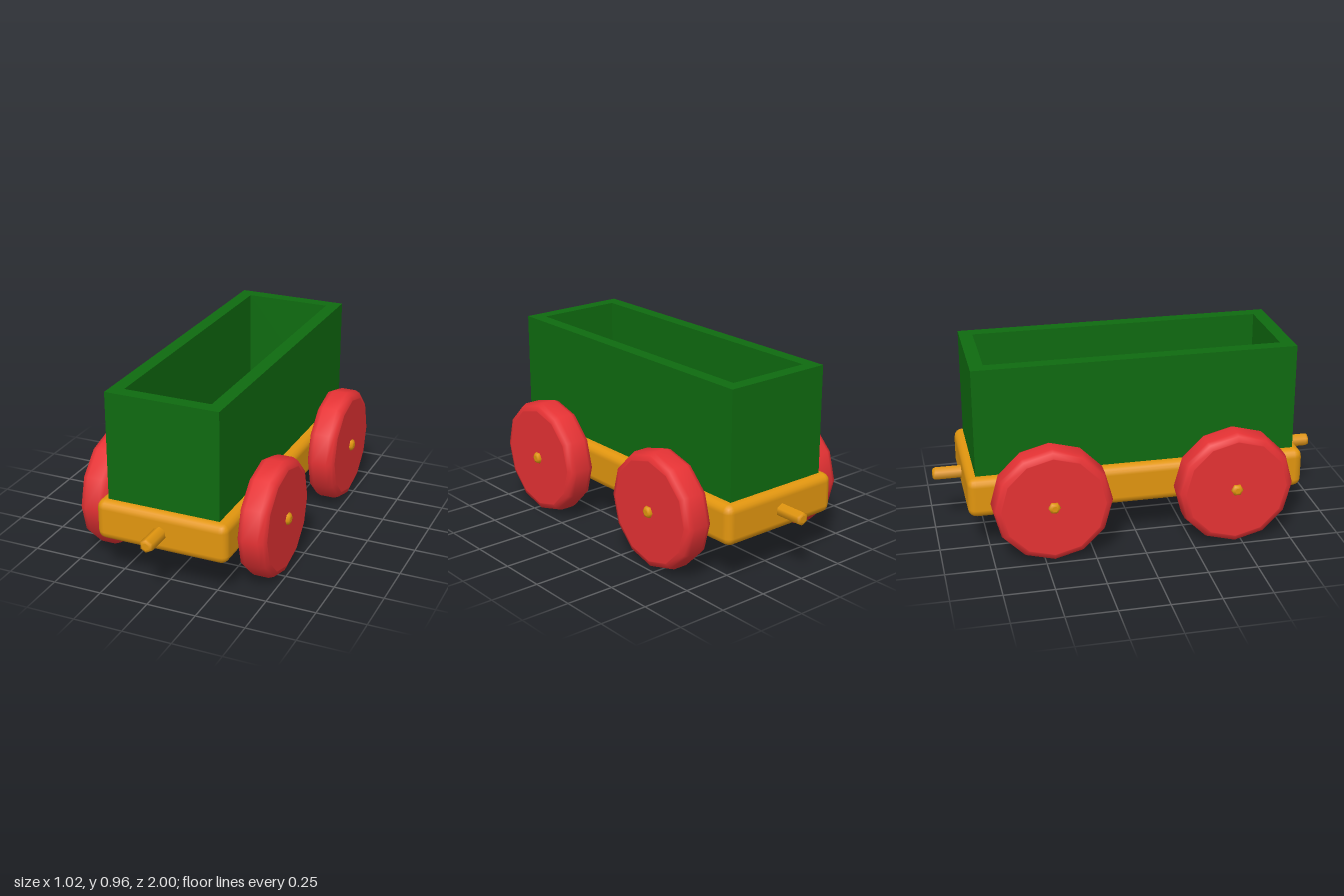
import * as THREE from 'three';
import { RoundedBoxGeometry } from 'three/addons/geometries/RoundedBoxGeometry.js';

const paint = (name, color) => {
  const m = new THREE.MeshStandardMaterial({ color });
  m.name = name;
  return m;
};

// Solid round part along y with softly rounded rims
function roundedDisc(radius, halfLength, bevel, sides) {
  const pts = [new THREE.Vector2(0, -halfLength), new THREE.Vector2(radius - bevel * 1.1, -halfLength)];
  for (const end of [-1, 1]) {
    for (let i = 0; i <= 2; i++) {
      const a = (end < 0 ? i : 2 - i) * Math.PI / 4;
      pts.push(new THREE.Vector2(
        radius - bevel + bevel * Math.sin(a),
        end * (halfLength - bevel + bevel * Math.cos(a))));
    }
  }
  pts.push(new THREE.Vector2(radius - bevel * 1.1, halfLength), new THREE.Vector2(0, halfLength));
  return new THREE.LatheGeometry(pts, sides);
}

export function createModel() {
  const group = new THREE.Group();
  const green = paint('green', 0x0f6b10);
  const orange = paint('orange', 0xe2960f);
  const red = paint('red', 0xe63234);

  const add = (name, geometry, material, x, y, z) => {
    const mesh = new THREE.Mesh(geometry, material);
    mesh.name = name;
    mesh.position.set(x, y, z);
    group.add(mesh);
    return mesh;
  };

  // Rounded chassis block
  add('chassis', new RoundedBoxGeometry(0.684, 0.206, 1.71, 2, 0.042), orange, 0, 0.305, 0);

  // Open cargo box: four walls and a floor
  const rect = (Type, w, d) => new Type([
    new THREE.Vector2(-w, -d), new THREE.Vector2(w, -d),
    new THREE.Vector2(w, d), new THREE.Vector2(-w, d)]);
  const walls = rect(THREE.Shape, 0.29, 0.81);
  walls.holes.push(rect(THREE.Path, 0.222, 0.742));
  const wallGeometry = new THREE.ExtrudeGeometry(walls, { depth: 0.555, bevelEnabled: false });
  wallGeometry.rotateX(-Math.PI / 2);
  add('cargoWalls', wallGeometry, green, 0, 0.403, 0);
  add('cargoFloor', new THREE.BoxGeometry(0.444, 0.065, 1.484), green, 0, 0.4355, 0);

  // Coupling pins at both ends
  const pin = roundedDisc(0.035, 0.14, 0.015, 6).rotateX(Math.PI / 2);
  for (const s of [1, -1]) {
    add(s > 0 ? 'frontPin' : 'backPin', pin, orange, 0, 0.307, s * 0.86);
  }

  // Axles and wheels
  const axle = roundedDisc(0.031, 0.508, 0.015, 6).rotateZ(Math.PI / 2);
  const wheel = roundedDisc(0.296, 0.074, 0.036, 12).rotateZ(Math.PI / 2);
  for (const [end, z] of [['front', 0.462], ['back', -0.455]]) {
    add(end + 'Axle', axle, orange, 0, 0.299, z);
    for (const s of [1, -1]) {
      add(end + (s > 0 ? 'Left' : 'Right') + 'Wheel', wheel, red, s * 0.416, 0.298, z);
    }
  }
  return group;
}
